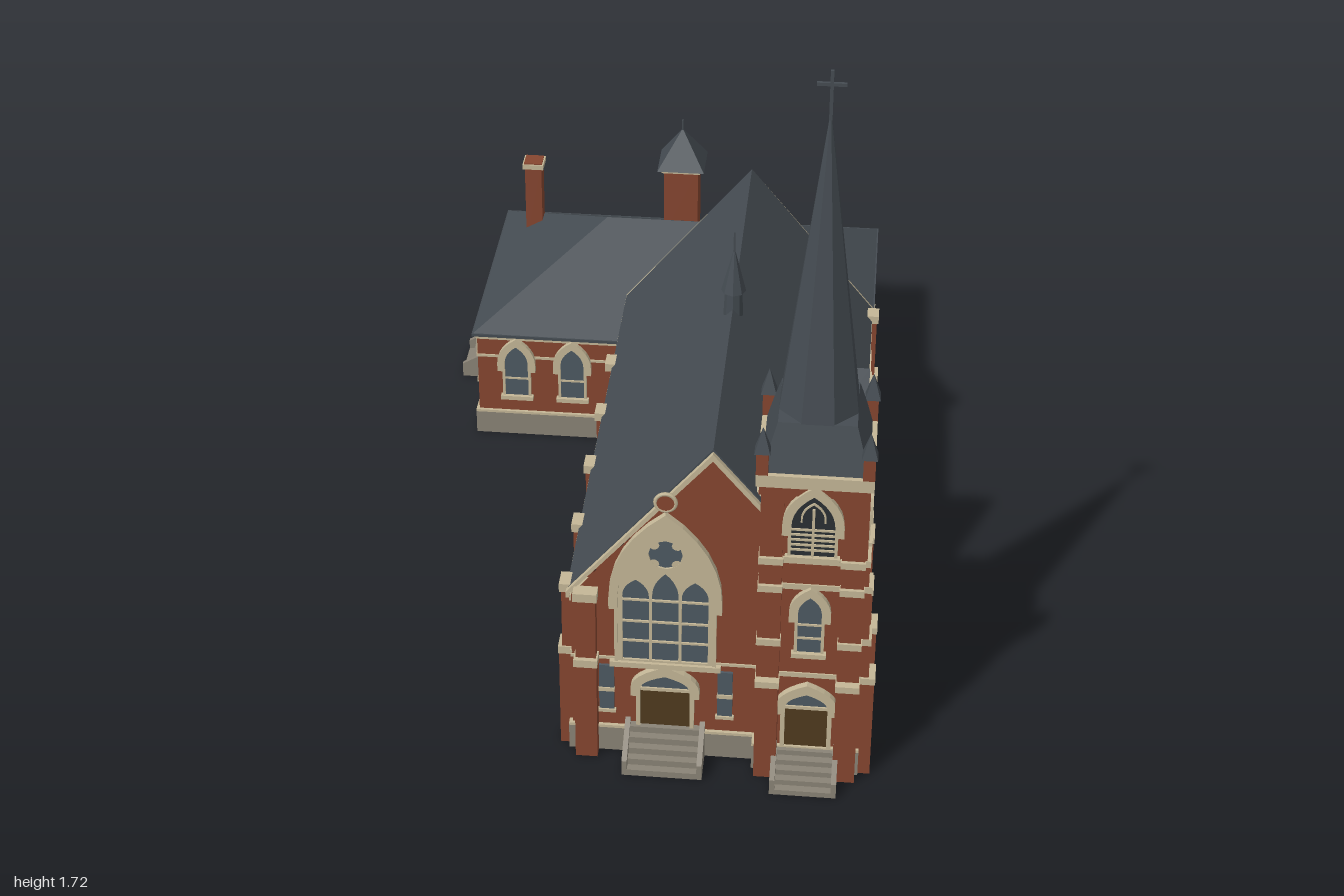
import * as THREE from 'three';

const mat = (name, color, double = true) => {
  const m = new THREE.MeshStandardMaterial({ color, side: double ? THREE.DoubleSide : THREE.FrontSide });
  m.name = name;
  return m;
};
const brick = mat('brick', 0x864630), trim = mat('creamStone', 0xc4b797), stone = mat('foundationStone', 0x8a8376);
const slate = mat('slate', 0x454c52), glass = mat('glass', 0x4d5962), wood = mat('doorWood', 0x503a1e), louver = mat('louver', 0x2b2f33);
const FRONT = 0, RIGHT = Math.PI / 2, BACK = Math.PI, LEFT = -Math.PI / 2;

const flat = (g) => { g = g.index ? g.toNonIndexed() : g; g.computeVertexNormals(); return g; };

function add(parent, name, geo, material, x = 0, y = 0, z = 0) {
  const m = new THREE.Mesh(geo, material);
  m.name = name;
  m.position.set(x, y, z);
  parent.add(m);
  return m;
}
// box given by its centre in x and z, and its bottom in y
const box = (p, name, m, x, y, z, w, h, d) => add(p, name, new THREE.BoxGeometry(w, h, d), m, x, y + h / 2, z);
// four-sided pyramid or frustum
const frustum = (p, name, m, x, y, z, top, bottom, h) =>
  add(p, name, flat(new THREE.CylinderGeometry(top * Math.SQRT2, bottom * Math.SQRT2, h, 4).rotateY(Math.PI / 4)), m, x, y + h / 2, z);
const slab = (shape, depth) => new THREE.ExtrudeGeometry(shape, { depth, bevelEnabled: false, curveSegments: 6 });
const poly = (pts) => new THREE.Shape(pts.map(([x, y]) => new THREE.Vector2(x, y)));

// a group sitting on a wall, local +z pointing out of it
function at(parent, name, side, x, y, z) {
  const g = new THREE.Group();
  g.name = name;
  g.position.set(x, y, z);
  g.rotation.y = side;
  parent.add(g);
  return g;
}
function lancet(w, h, s, cx = 0, y = 0) {
  const sh = new THREE.Shape(), r = w / 2, k = y + s + (h - s) * 0.6;
  sh.moveTo(cx - r, y).lineTo(cx + r, y).lineTo(cx + r, y + s);
  sh.quadraticCurveTo(cx + r, k, cx, y + h).quadraticCurveTo(cx - r, k, cx - r, y + s);
  return sh;
}
// stone arch band of thickness t around a lancet opening
function archBand(w, h, s, t, y0) {
  const sh = new THREE.Shape(), r = w / 2, o = r + t, k = s + (h - s) * 0.6;
  sh.moveTo(-o, y0).lineTo(-r, y0).lineTo(-r, s).quadraticCurveTo(-r, k, 0, h).quadraticCurveTo(r, k, r, s);
  sh.lineTo(r, y0).lineTo(o, y0).lineTo(o, s).quadraticCurveTo(o, k + t * 0.7, 0, h + t * 1.2);
  sh.quadraticCurveTo(-o, k + t * 0.7, -o, s);
  return sh;
}
// pointed window with hood, jambs, sill and glazing bars
function lancetWindow(p, side, x, y, z, w, h, bars = 1, pane = glass) {
  const g = at(p, 'window', side, x, y, z), s = h - w * 0.85;
  add(g, 'pane', slab(lancet(w, h, s), 0.012), pane, 0, 0, -0.007);
  add(g, 'jambs', slab(archBand(w, h, s, 0.007, 0), 0.009), trim);
  add(g, 'hood', slab(archBand(w, h, s, 0.02, s - 0.025), 0.013), trim);
  box(g, 'sill', trim, 0, -0.012, 0.007, w + 0.025, 0.012, 0.016);
  for (let i = 1; i <= bars; i++) box(g, 'glazingBar', trim, 0, (i * s) / (bars + 1), 0.005, w, 0.005, 0.006);
  return g;
}
// two or three lancets gathered under one hood
function groupedWindow(p, side, x, y, z, w, h, n, pane = glass) {
  const g = lancetWindow(p, side, x, y, z, w, h, pane === glass ? 3 : 5, pane);
  for (let i = 1; i < n; i++) box(g, 'mullion', trim, -w / 2 + (i * w) / n, 0, 0.006, 0.006, h * 0.78, 0.008);
  add(g, 'tracery', slab(archBand(w / n, w * 0.5, w * 0.1, 0.004, 0), 0.009), trim, 0, h - w * 0.75, 0);
  return g;
}
function door(p, side, x, z, w) {
  const g = at(p, 'doorway', side, x, 0.075, z);
  box(g, 'door', wood, 0, 0, 0, w, 0.112, 0.012);
  add(g, 'tympanum', slab(lancet(w, 0.042, 0.004), 0.012), glass, 0, 0.112, -0.006);
  box(g, 'lintel', trim, 0, 0.108, 0.004, w, 0.008, 0.012);
  add(g, 'doorArch', slab(archBand(w, 0.155, 0.116, 0.01, 0), 0.012), trim);
  add(g, 'doorHood', slab(archBand(w, 0.155, 0.116, 0.022, 0.095), 0.016), trim);
}
function steps(p, side, x, z, w, d, h) {
  const g = at(p, 'steps', side, x, 0, z), n = 5;
  for (let i = 0; i < n; i++) box(g, 'step', stone, 0, 0, (d * (n - i)) / n / 2, w - 0.02, (h * (i + 1)) / n, (d * (n - i)) / n);
  const cheek = slab(poly([[0, 0], [d, 0], [d, 0.04], [0, h + 0.012]]), 0.012).rotateY(-Math.PI / 2);
  for (const s of [-1, 1]) add(g, 'cheekWall', cheek, stone, s * (w / 2 - 0.006) + 0.006, 0, 0);
}
function buttress(p, side, x, z, w, h, d) {
  const g = at(p, 'buttress', side, x, 0, z);
  box(g, 'lowerPier', brick, 0, 0, 0, w, 0.26, d * 2);
  box(g, 'lowerCap', trim, 0, 0.26, 0, w + 0.004, 0.02, d * 2 + 0.004);
  box(g, 'upperPier', brick, 0, 0.28, 0, w * 0.92, h - 0.3, d * 1.5);
  box(g, 'upperCap', trim, 0, h - 0.02, 0, w + 0.004, 0.022, d * 1.8);
}
// pitched roof cross-section
const chevron = (hw, rise, t) => poly([[-hw, 0], [0, rise], [hw, 0], [hw, t], [0, rise + t * 1.5], [-hw, t]]);
// flat wall between two plan points, with plinth and belt courses outside
function wall(p, x0, z0, x1, z1, h, belts) {
  const len = Math.hypot(x1 - x0, z1 - z0), g = at(p, 'wall', Math.atan2(z0 - z1, x1 - x0), (x0 + x1) / 2, 0, (z0 + z1) / 2);
  add(g, 'brickwork', new THREE.PlaneGeometry(len, h), brick, 0, h / 2, 0);
  box(g, 'plinth', stone, 0, 0, 0.004, len + 0.016, 0.065, 0.008);
  box(g, 'plinthCourse', trim, 0, 0.065, 0.004, len + 0.016, 0.007, 0.008);
  for (const [y, t] of belts) box(g, 'beltCourse', trim, 0, y, 0.001, len + 0.004, t, 0.005);
}

function buildNave(root) {
  const g = at(root, 'nave', 0, 0, 0, 0), cx = 0.2175, L = -0.095, R = 0.53, F = 0.88;
  const belts = [[0.262, 0.007]];
  wall(g, L, F, R, F, 0.435, belts);
  wall(g, R, F, R, -0.36, 0.435, [[0.272, 0.007], [0.42, 0.016]]);
  wall(g, L, -0.36, L, F, 0.435, [[0.272, 0.007], [0.42, 0.016]]);
  // gables, roof and rake trim
  const gable = new THREE.ShapeGeometry(poly([[-0.3125, 0], [0.3125, 0], [0, 0.392]]));
  add(g, 'frontGable', gable, brick, cx, 0.435, F);
  add(g, 'backGable', gable, brick, cx, 0.435, -0.36);
  box(g, 'backWall', brick, cx, 0.3, -0.36, 0.625, 0.136, 0.006);
  add(g, 'roof', slab(chevron(0.322, 0.392, 0.012), 1.235), slate, cx, 0.435, -0.362);
  for (const z of [-0.371, 0.873]) add(g, 'rakeTrim', slab(chevron(0.323, 0.388, 0.012), 0.012), trim, cx, 0.433, z);
  for (const s of [-1, 1]) box(g, 'eaveGutter', trim, cx + s * 0.319, 0.43, 0.26, 0.008, 0.012, 1.25);
  add(g, 'rakeRing', new THREE.TorusGeometry(0.022, 0.005, 6, 20), trim, 0.117, 0.71, F + 0.01);
  add(g, 'rakeDisc', new THREE.CylinderGeometry(0.02, 0.02, 0.012, 20).rotateX(Math.PI / 2), brick, 0.117, 0.71, F + 0.008);
  add(g, 'backRoundWindow', new THREE.CylinderGeometry(0.022, 0.022, 0.012, 20).rotateX(Math.PI / 2), glass, cx, 0.73, -0.363);
  add(g, 'backRoundTrim', new THREE.TorusGeometry(0.024, 0.004, 6, 20), brick, cx, 0.73, -0.367);

  // great front window: stone head pierced by three lights and a rose
  const w = at(g, 'greatWindow', FRONT, 0.117, 0.265, F);
  add(w, 'glazing', slab(lancet(0.2, 0.38, 0.18), 0.01), glass, 0, 0, -0.006);
  const head = lancet(0.212, 0.39, 0.18);
  for (const i of [-1, 0, 1]) head.holes.push(lancet(0.059, i ? 0.225 : 0.245, 0.18, i * 0.066, 0.005));
  head.holes.push(new THREE.Path().absarc(0, 0.302, 0.038, 0, Math.PI * 2));
  add(w, 'tracery', slab(head, 0.009), trim);
  add(w, 'hood', slab(archBand(0.212, 0.39, 0.18, 0.02, 0.15), 0.016), trim);
  add(w, 'jambs', slab(archBand(0.212, 0.39, 0.18, 0.008, 0), 0.012), trim);
  for (const y of [0.055, 0.11, 0.17]) box(w, 'glazingBar', trim, 0, y, 0.005, 0.2, 0.005, 0.006);
  for (let i = 0; i < 4; i++)
    add(w, 'roseCusp', new THREE.CircleGeometry(0.012, 10), trim, 0.036 * Math.cos(Math.PI / 4 + i * Math.PI / 2), 0.302 + 0.036 * Math.sin(Math.PI / 4 + i * Math.PI / 2), 0.0085);
  box(w, 'sill', trim, 0, -0.014, 0.008, 0.25, 0.014, 0.016);

  // front entrance and narrow side lights
  door(g, FRONT, 0.117, F, 0.112);
  steps(g, FRONT, 0.117, F, 0.182, 0.09, 0.082);
  for (const x of [-0.016, 0.252]) {
    box(g, 'narrowLight', glass, x, 0.12, F, 0.034, 0.125, 0.012);
    box(g, 'lightBar', trim, x, 0.172, F + 0.004, 0.036, 0.01, 0.01);
    box(g, 'lightSill', trim, x, 0.112, F + 0.004, 0.042, 0.008, 0.012);
  }
  buttress(g, FRONT, -0.06, F, 0.05, 0.46, 0.035);

  // side windows and buttresses
  for (const z of [-0.15, 0.07, 0.29, 0.515, 0.74]) lancetWindow(g, LEFT, L, 0.125, z, 0.065, 0.24, 2);
  for (const z of [-0.04, 0.18, 0.4, 0.63, 0.85]) buttress(g, LEFT, L, z, 0.042, 0.455, 0.03);
  for (const z of [0.05, -0.235]) groupedWindow(g, RIGHT, R, 0.125, z, 0.08, 0.25, 2);
  groupedWindow(g, RIGHT, R, 0.125, 0.55, 0.125, 0.25, 3);
  for (const z of [0.467, 0.41, 0.175, -0.32]) buttress(g, RIGHT, R, z, 0.038, 0.46, 0.03);

  // cross gable with its large window
  const d = at(g, 'crossGable', RIGHT, R + 0.006, 0.43, 0.292);
  add(d, 'gableWall', new THREE.ShapeGeometry(poly([[-0.125, -0.06], [0.125, -0.06], [0.125, 0], [0, 0.248], [-0.125, 0]])), brick);
  add(d, 'gableRoof', slab(chevron(0.13, 0.245, 0.01), 0.2), slate, 0, 0, -0.195);
  add(d, 'gableTrim', slab(chevron(0.128, 0.238, 0.009), 0.008), trim, 0, 0, 0.002);
  add(d, 'gableSpandrel', slab(archBand(0.045, 0.06, 0.02, 0.03, 0), 0.01), trim, 0, 0.025, 0);
  add(d, 'gableLight', slab(lancet(0.02, 0.025, 0.004), 0.01), glass, 0, 0.185, -0.005);
  box(d, 'glazing', glass, 0, -0.305, 0, 0.17, 0.29, 0.012);
  box(d, 'windowHead', trim, 0, -0.015, 0.006, 0.185, 0.018, 0.014);
  box(d, 'windowSill', trim, 0, -0.317, 0.006, 0.185, 0.012, 0.014);
  for (let i = 0; i < 4; i++) box(d, 'mullion', trim, -0.087 + i * 0.058, -0.305, 0.006, 0.007, 0.29, 0.01);
  for (const y of [-0.23, -0.15, -0.075]) box(d, 'glazingBar', trim, 0, y, 0.006, 0.17, 0.005, 0.008);
  for (let i = -1; i <= 1; i++) add(d, 'lightArch', slab(archBand(0.05, 0.05, 0.01, 0.004, 0), 0.01), trim, i * 0.058, -0.075, 0);

  // ridge spirelet
  const f = at(g, 'spirelet', 0, cx, 0, 0.29);
  for (const [a, b, y, h] of [[0.02, 0.024, 0.8, 0.085], [0, 0.029, 0.885, 0.115], [0.002, 0.003, 0.98, 0.06]])
    add(f, 'spireletStage', flat(new THREE.CylinderGeometry(a, b, h, 8)), slate, 0, y + h / 2, 0);
}

function buildTower(root) {
  const X = 0.437, Z = 0.797, H = 0.113, g = at(root, 'tower', 0, X, 0, Z);
  const belts = [[0.27, 0.012], [0.515, 0.014], [0.585, 0.016]];
  for (const [a, b, c, d] of [[-1, 1, 1, 1], [1, 1, 1, -1], [1, -1, -1, -1], [-1, -1, -1, 1]]) wall(g, a * H, b * H, c * H, d * H, 0.8, belts);
  box(g, 'corbelCourse', brick, 0, 0.765, 0, 0.238, 0.025, 0.238);
  box(g, 'cornice', trim, 0, 0.79, 0, 0.252, 0.03, 0.252);
  // stepped corner buttresses
  for (const [side, x, z] of [[FRONT, 0, H], [RIGHT, H, 0]])
    for (const s of [-1, 1]) {
      const p = at(g, 'cornerButtress', side, x + (side ? 0 : s * 0.089), 0, z + (side ? s * 0.089 : 0));
      for (const [y, h, d] of [[0, 0.26, 0.035], [0.28, 0.09, 0.022], [0.385, 0.13, 0.018], [0.53, 0.055, 0.012], [0.6, 0.19, 0.006]]) {
        box(p, 'pier', brick, 0, y, 0, 0.05, h, d * 2);
        if (y < 0.6) box(p, 'weathering', trim, 0, y + h, 0, 0.054, 0.017, d * 2 + 0.004);
      }
    }
  // openings
  for (const [side, x, z] of [[FRONT, 0, H], [RIGHT, H, 0], [BACK, 0, -H], [LEFT, -H, 0]]) {
    groupedWindow(g, side, x, 0.61, z, 0.094, 0.16, 2, louver);
    if (side === FRONT || side === RIGHT) lancetWindow(g, side, x, 0.345, z, 0.052, 0.155, 2);
  }
  door(g, FRONT, 0, H, 0.095);
  steps(g, FRONT, 0, H, 0.15, 0.09, 0.068);
  lancetWindow(g, RIGHT, H, 0.13, 0, 0.036, 0.115, 1);
  // spire and corner pinnacles
  frustum(g, 'spireSkirt', slate, 0, 0.82, 0, 0.084, 0.115, 0.11);
  add(g, 'spire', flat(new THREE.ConeGeometry(0.092, 0.71, 8).rotateY(Math.PI / 8)), slate, 0, 1.28, 0);
  for (const x of [-1, 1]) for (const z of [-1, 1]) {
    box(g, 'pinnacle', brick, x * 0.113, 0.82, z * 0.113, 0.026, 0.055, 0.026);
    frustum(g, 'pinnacleCap', slate, x * 0.113, 0.875, z * 0.113, 0, 0.017, 0.06);
  }
  box(g, 'crossPost', slate, 0, 1.61, 0, 0.007, 0.11, 0.007);
  box(g, 'crossArm', slate, 0, 1.686, 0, 0.06, 0.007, 0.007);
}

function buildRearBlock(root) {
  const g = at(root, 'rearBlock', 0, 0, 0, 0), L = -0.505, R = 0.532, B = -0.985, F = -0.352;
  const belts = [[0.24, 0.007], [0.296, 0.016]];
  wall(g, L, F, -0.095, F, 0.315, belts);
  wall(g, R, F, R, B, 0.315, belts);
  wall(g, R, B, L, B, 0.315, belts);
  wall(g, L, B, L, F, 0.315, belts);
  // hipped roof
  const a = [-0.517, 0.315, -0.338], b = [0.545, 0.315, -0.338], c = [0.545, 0.315, -1], d = [-0.517, 0.315, -1];
  const r = [-0.19, 0.503, -0.67], s = [0.213, 0.503, -0.67];
  const roof = new THREE.BufferGeometry();
  roof.setAttribute('position', new THREE.Float32BufferAttribute([a, b, s, a, s, r, b, c, s, c, d, r, c, r, s, d, a, r].flat(), 3));
  roof.computeVertexNormals();
  add(g, 'hipRoof', roof, slate);
  for (const z of [-0.343, -0.995]) box(g, 'eave', slate, z > -0.5 ? -0.306 : 0.014, 0.309, z, z > -0.5 ? 0.422 : 1.062, 0.008, 0.01);
  for (const x of [-0.512, 0.54]) box(g, 'eave', slate, x, 0.309, -0.669, 0.01, 0.008, 0.662);
  // windows and side door
  for (const x of [-0.4, -0.25]) lancetWindow(g, FRONT, x, 0.125, F, 0.062, 0.155);
  for (const z of [-0.53, -0.68, -0.86]) lancetWindow(g, RIGHT, R, 0.125, z, 0.062, 0.155);
  for (let i = 0; i < 6; i++) lancetWindow(g, BACK, -0.415 + i * 0.172, 0.125, B, 0.062, 0.155);
  for (const z of [-0.46, -0.87]) lancetWindow(g, LEFT, L, 0.125, z, 0.062, 0.155);
  door(g, LEFT, L, -0.675, 0.08);
  steps(g, LEFT, L, -0.675, 0.13, 0.09, 0.08);
  // roof cupola and chimney
  box(g, 'cupola', brick, 0.007, 0.44, -0.75, 0.092, 0.2, 0.092);
  box(g, 'cupolaCornice', trim, 0.007, 0.632, -0.75, 0.104, 0.01, 0.104);
  frustum(g, 'cupolaRoof', slate, 0.007, 0.642, -0.75, 0, 0.063, 0.102);
  box(g, 'cupolaFinial', slate, 0.007, 0.73, -0.75, 0.005, 0.04, 0.005);
  box(g, 'chimney', brick, -0.416, 0.33, -0.857, 0.046, 0.232, 0.046);
  box(g, 'chimneyCap', trim, -0.416, 0.55, -0.857, 0.058, 0.014, 0.058);
  box(g, 'chimneyTop', brick, -0.416, 0.563, -0.857, 0.05, 0.004, 0.05);
}

export function createModel() {
  const root = new THREE.Group();
  root.name = 'church';
  buildNave(root);
  buildTower(root);
  buildRearBlock(root);
  return root;
}
